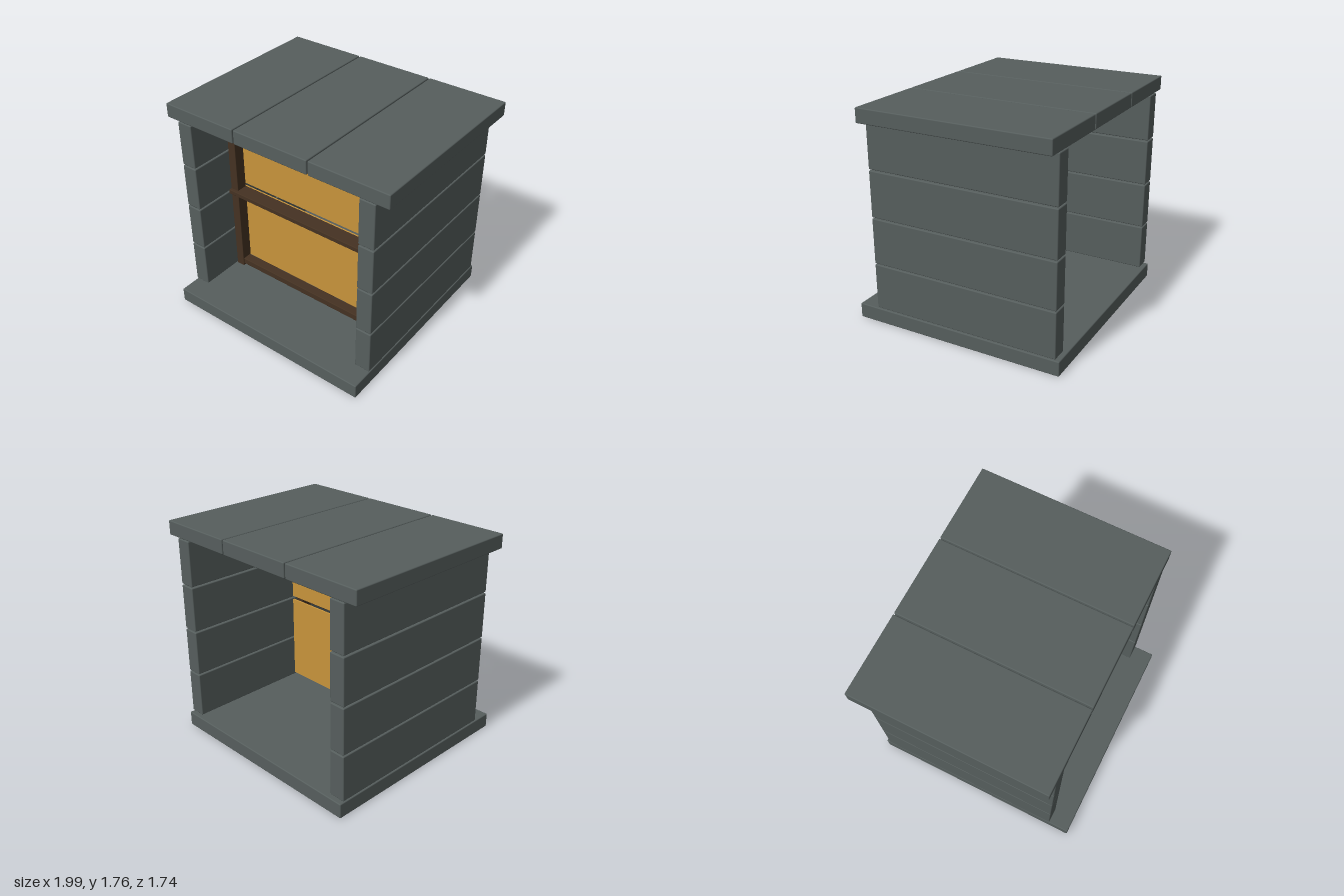
import * as THREE from 'three';
import { RoundedBoxGeometry } from 'three/addons/geometries/RoundedBoxGeometry.js';

export function createModel() {
  const model = new THREE.Group();
  model.name = 'plankShelter';

  const material = (name, color) => {
    const m = new THREE.MeshStandardMaterial({ color });
    m.name = name;
    return m;
  };
  const slate = material('slateGrey', 0x565e5d);
  const brown = material('darkBrown', 0x453222);
  const amber = material('amber', 0xc8943b);

  // Soft-edged block given by its [min, max] extents on each axis
  const block = (name, mat, [x0, x1], [y0, y1], [z0, z1], bevel = 0.008) => {
    const size = [x1 - x0, y1 - y0, z1 - z0];
    const geometry = bevel
      ? new RoundedBoxGeometry(...size, 2, bevel)
      : new THREE.BoxGeometry(...size);
    const mesh = new THREE.Mesh(geometry, mat);
    mesh.name = name;
    mesh.position.set((x0 + x1) / 2, (y0 + y1) / 2, (z0 + z1) / 2);
    model.add(mesh);
  };

  const plankDepth = [-0.84, 0.70];

  // Floor slab
  block('floor', slate, [-0.89, 0.89], [0, 0.12], [-0.87, 0.87]);

  // Side walls: four stacked planks each
  for (let i = 0; i < 4; i++) {
    const y = 0.13 + i * 0.38;
    block('leftWallPlank', slate, [0.76, 0.89], [y, y + 0.37], plankDepth);
    block('rightWallPlank', slate, [-0.89, -0.76], [y, y + 0.37], plankDepth);
  }

  // Roof: three planks running front to back
  for (let i = -1; i <= 1; i++) {
    const x = i * 0.668;
    block('roofPlank', slate, [x - 0.329, x + 0.329], [1.645, 1.76], plankDepth);
  }

  // Window frame: two posts, top and bottom rails, and a deeper middle bar
  block('leftPost', brown, [0.685, 0.758], [0.125, 1.645], [0.243, 0.338], 0.005);
  block('rightPost', brown, [-0.758, -0.685], [0.125, 1.645], [0.243, 0.338], 0.005);
  block('bottomRail', brown, [-0.69, 0.69], [0.145, 0.2], [0.25, 0.33], 0.005);
  block('topRail', brown, [-0.69, 0.69], [1.57, 1.625], [0.25, 0.33], 0.005);
  block('middleBar', brown, [-0.758, 0.758], [0.867, 0.906], [0.24, 0.365], 0.005);

  // Panels set just behind the frame, with a slot between them
  block('lowerPanel', amber, [-0.755, 0.755], [0.15, 0.87], [0.192, 0.207], 0);
  block('upperPanel', amber, [-0.755, 0.755], [0.902, 1.62], [0.192, 0.207], 0);

  return model;
}
